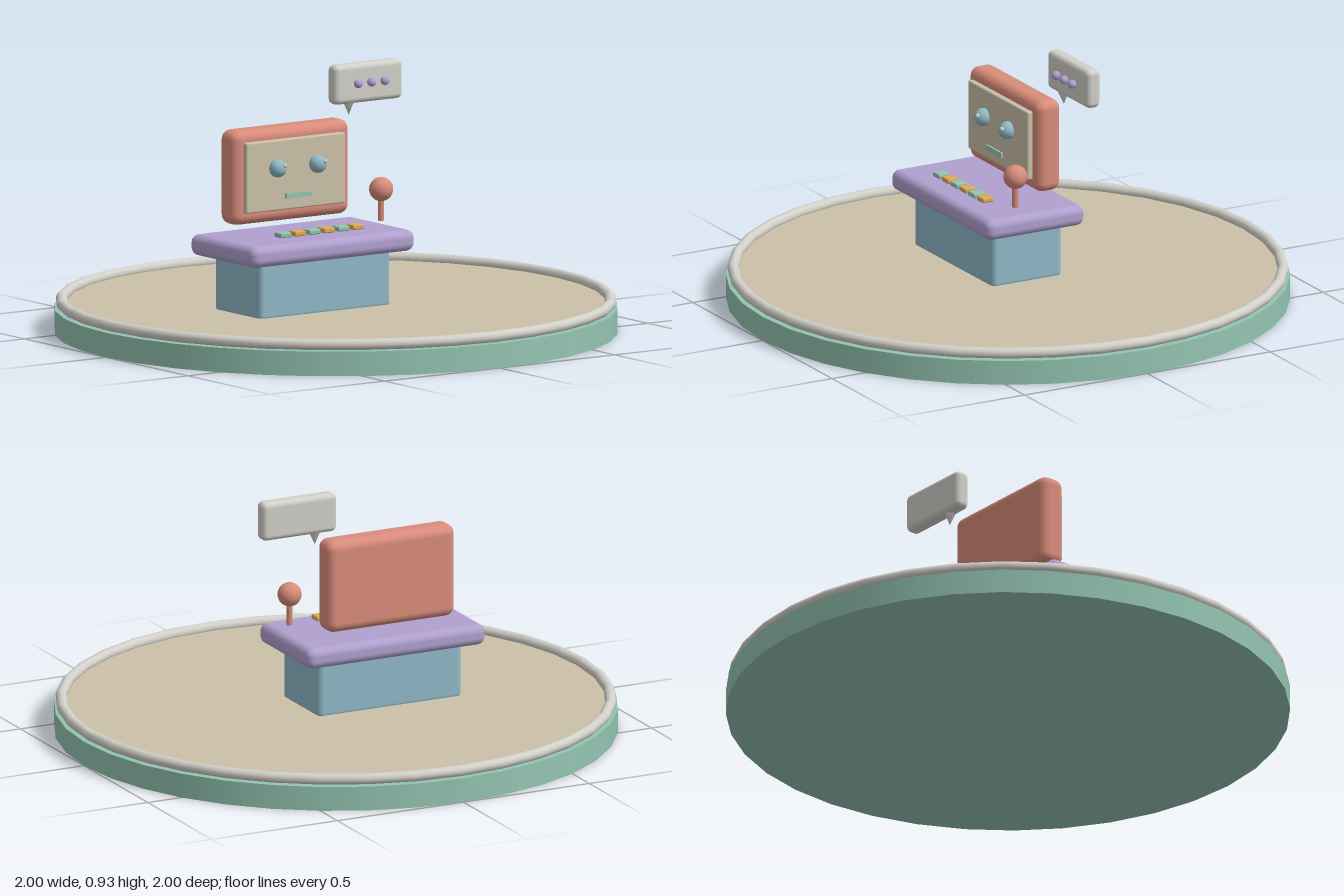
import * as THREE from 'three';
import { RoundedBoxGeometry } from 'three/addons/geometries/RoundedBoxGeometry.js';

const material = (name, color) => {
  const m = new THREE.MeshStandardMaterial({ color });
  m.name = name;
  return m;
};

export function createModel() {
  const sage = material('sage green', 0x93c4b1);
  const sand = material('sand', 0xcbc1a8);
  const silver = material('warm grey', 0xd2d0c9);
  const blue = material('dusty blue', 0x8fb8c7);
  const violet = material('violet', 0xb0a0cf);
  const coral = material('coral', 0xd98c7b);
  const amber = material('amber', 0xdcab55);

  const model = new THREE.Group();
  model.name = 'consoleOnStage';

  const add = (name, geometry, mat, x, y, z, parent = model) => {
    const mesh = new THREE.Mesh(geometry, mat);
    mesh.name = name;
    mesh.position.set(x, y, z);
    parent.add(mesh);
    return mesh;
  };
  const group = (name) => {
    const g = new THREE.Group();
    g.name = name;
    model.add(g);
    return g;
  };
  const box = (w, h, d, r) => new RoundedBoxGeometry(w, h, d, 4, r);
  const ball = (r) => new THREE.SphereGeometry(r, 24, 16);
  const cx = -0.145; // centre line of the console

  // Round stage with a raised rim
  add('stageBase', new THREE.CylinderGeometry(1, 1, 0.088, 36), sage, 0, 0.044, 0);
  add('stageFloor', new THREE.CylinderGeometry(0.965, 0.965, 0.02, 36), sand, 0, 0.092, 0);
  add('stageRim', new THREE.TorusGeometry(0.975, 0.02, 12, 36), silver, 0, 0.11, 0).rotation.x = Math.PI / 2;

  // Desk
  add('pedestal', box(0.57, 0.22, 0.284, 0.02), blue, cx, 0.2, 0);
  add('deskTop', box(0.71, 0.076, 0.4, 0.03), violet, cx, 0.332, 0);

  // Monitor hovering over the desk
  const monitor = group('monitor');
  add('monitorCase', box(0.51, 0.339, 0.1, 0.035), coral, cx, 0.573, -0.11, monitor);
  add('screen', box(0.43, 0.253, 0.03, 0.006), sand, cx, 0.575, -0.055, monitor);
  for (const side of [-1, 1]) {
    const x = cx + side * 0.087;
    add('eye', ball(0.032), blue, x, 0.602, -0.03, monitor);
    add('eyeGlint', ball(0.008), silver, x + 0.012, 0.614, -0.001, monitor);
  }
  add('mouth', new THREE.BoxGeometry(0.11, 0.018, 0.008), sage, cx, 0.5, -0.026, monitor);

  // Row of buttons in alternating colours
  const buttons = group('buttons');
  for (let i = 0; i < 6; i++) {
    add('button', box(0.047, 0.018, 0.045, 0.005), i % 2 ? amber : sage, -0.302 + i * 0.063, 0.388, 0.1, buttons);
  }

  // Lever
  const lever = group('lever');
  add('leverStick', new THREE.CylinderGeometry(0.011, 0.011, 0.1, 12), coral, 0.155, 0.44, 0.058, lever);
  add('leverKnob', ball(0.043), coral, 0.155, 0.503, 0.058, lever);

  // Speech bubble
  const bubble = group('speechBubble');
  add('bubbleBody', box(0.296, 0.142, 0.056, 0.02), silver, 0.226, 0.857, -0.14, bubble);
  add('bubbleTail', new THREE.ConeGeometry(0.025, 0.05, 4), silver, 0.155, 0.768, -0.14, bubble).rotation.x = Math.PI;
  for (const x of [0.168, 0.226, 0.284]) {
    add('bubbleDot', ball(0.016), violet, x, 0.859, -0.1, bubble);
  }

  return model;
}
